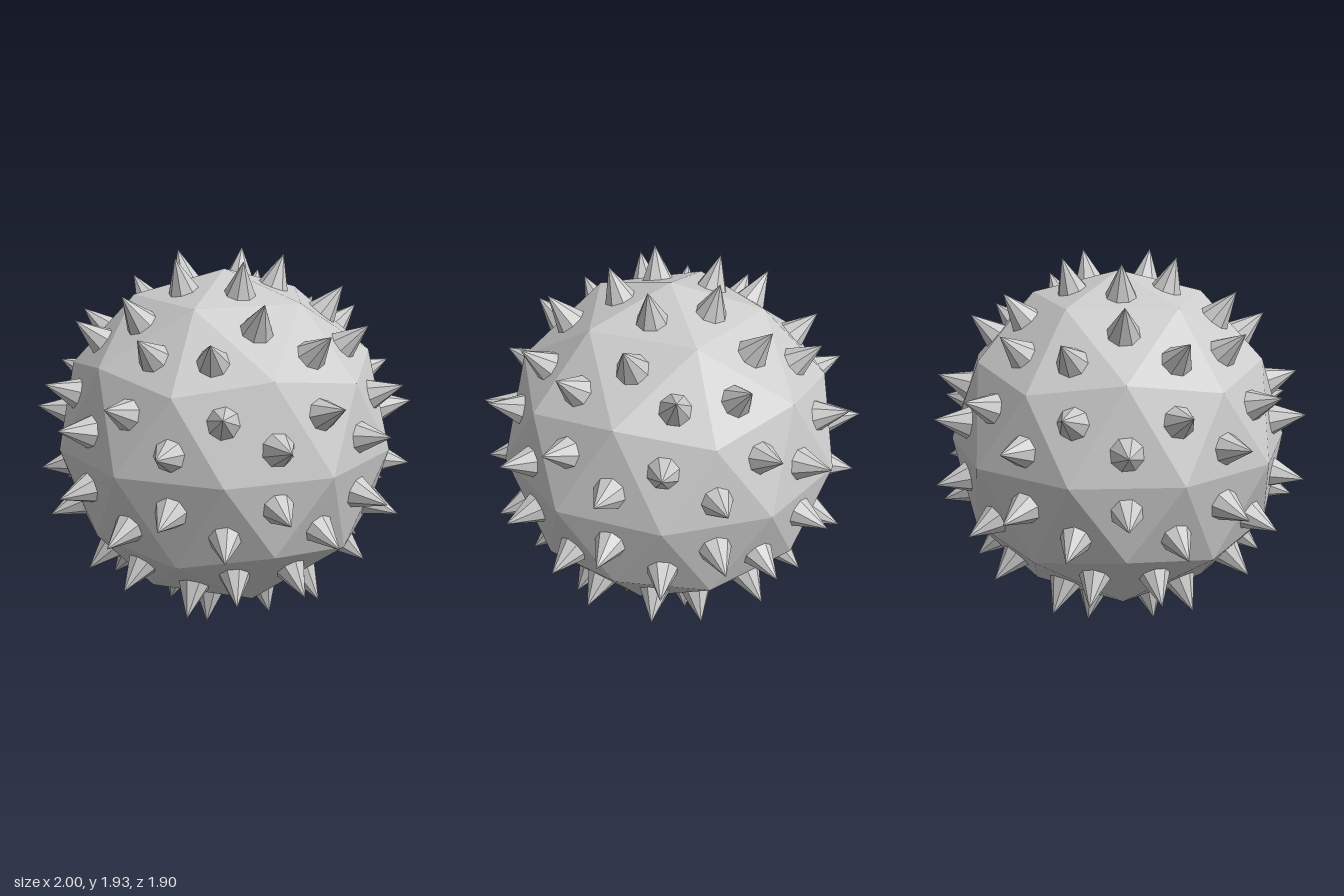
import * as THREE from 'three';

const BODY_RADIUS = 0.89;
const TIP_RADIUS = 1.0128; // distance of every spike tip from the centre
const BASE_RADIUS = 0.832; // distance of every spike base from the centre
const CENTRE_Y = 0.966;

export function createModel() {
  const model = new THREE.Group();
  model.name = 'spikedBall';
  const grey = new THREE.MeshStandardMaterial({ color: 0xcccccc, flatShading: true });
  grey.name = 'grey';

  // Faceted ball of 80 triangles, turned so that a corner sits at each pole
  const ball = new THREE.IcosahedronGeometry(BODY_RADIUS, 1);
  ball.rotateZ(-Math.atan(2 / (1 + Math.sqrt(5))));
  ball.computeVertexNormals();
  const body = new THREE.Mesh(ball, grey);
  body.name = 'body';
  body.position.y = CENTRE_Y;
  model.add(body);

  // Eight-sided spike with its base at the origin, pointing up
  const height = TIP_RADIUS - BASE_RADIUS;
  const cone = new THREE.ConeGeometry(0.083, height, 8).toNonIndexed();
  cone.translate(0, height / 2, 0);
  cone.computeVertexNormals();

  // One spike in the middle of each triangle, pointing away from the centre
  const spikes = new THREE.Group();
  spikes.name = 'spikes';
  spikes.position.y = CENTRE_Y;
  const up = new THREE.Vector3(0, 1, 0);
  const corner = new THREE.Vector3();
  const points = ball.attributes.position;
  for (let i = 0; i < points.count; i += 3) {
    const direction = new THREE.Vector3();
    for (let j = 0; j < 3; j++) direction.add(corner.fromBufferAttribute(points, i + j));
    direction.normalize();
    const spike = new THREE.Mesh(cone, grey);
    spike.name = 'spike';
    spike.quaternion.setFromUnitVectors(up, direction);
    spike.position.copy(direction).multiplyScalar(BASE_RADIUS);
    spikes.add(spike);
  }
  model.add(spikes);
  return model;
}
